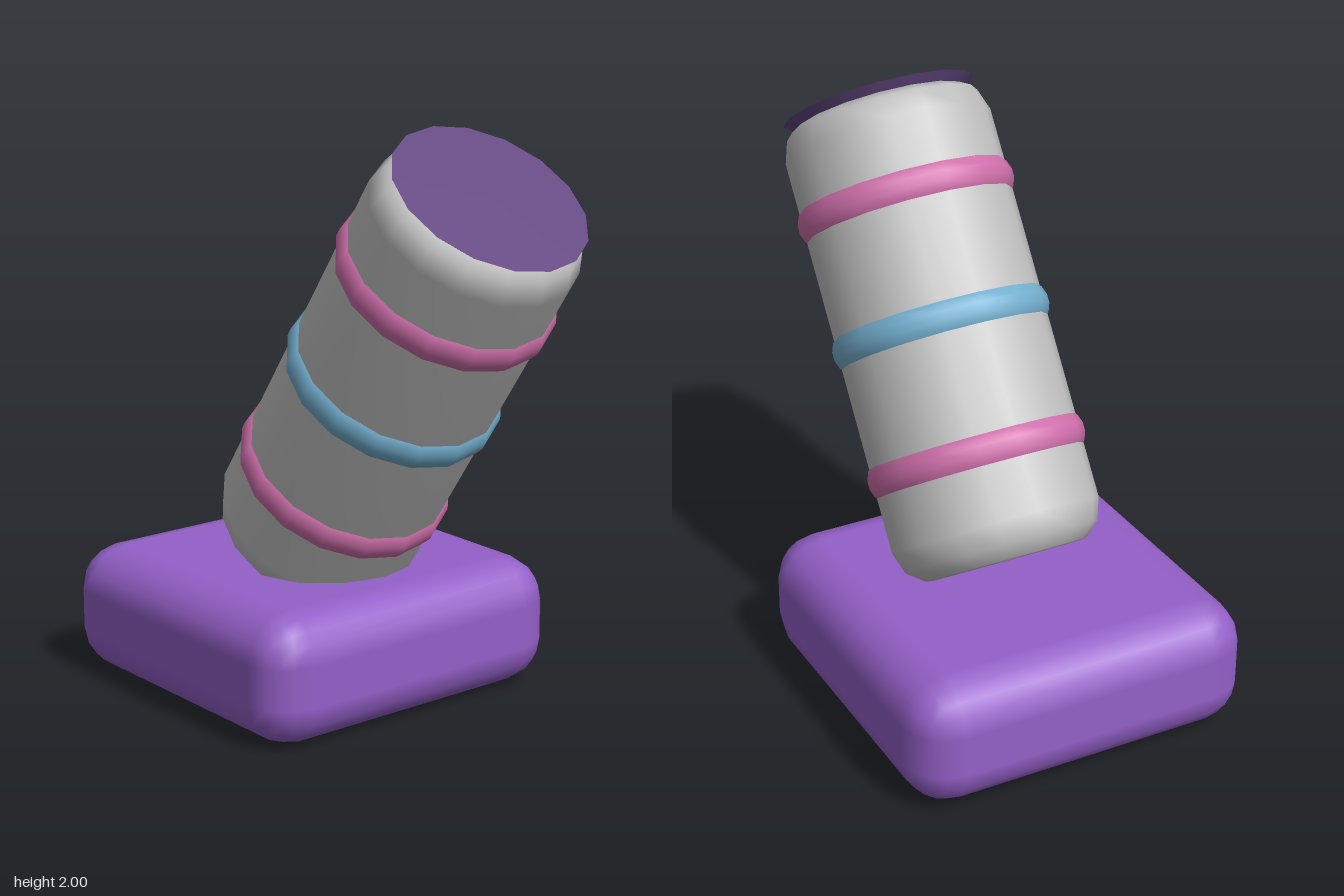
import * as THREE from 'three';
import { RoundedBoxGeometry } from 'three/addons/geometries/RoundedBoxGeometry.js';

const SIDES = 16;

function material(name, color) {
  const m = new THREE.MeshStandardMaterial({ color });
  m.name = name;
  return m;
}

// Surface of revolution from [radius, height] pairs, listed bottom to top
function lathe(name, profile, mat) {
  const points = profile.map(([r, y]) => new THREE.Vector2(r, y));
  const mesh = new THREE.Mesh(new THREE.LatheGeometry(points, SIDES), mat);
  mesh.name = name;
  return mesh;
}

export function createModel() {
  const purple = material('purple', 0x9460c8);
  const darkPurple = material('dark purple', 0x634780);
  const grey = material('light grey', 0xc0c0c0);
  const pink = material('pink', 0xd070ac);
  const blue = material('blue', 0x74b0d0);

  const model = new THREE.Group();
  model.name = 'tiltedBarrel';

  // Soft square base
  const base = new THREE.Mesh(new RoundedBoxGeometry(1.23, 0.45, 1.23, 2, 0.155), purple);
  base.name = 'base';
  base.position.set(0, 0.225, -0.285);
  model.add(base);

  // Barrel leans forward; its origin is the centre of the muzzle
  const barrel = new THREE.Group();
  barrel.name = 'barrel';
  barrel.position.set(0, 1.81, 0.63);
  barrel.rotation.x = THREE.MathUtils.degToRad(35);
  model.add(barrel);

  // Tube with rounded rims
  barrel.add(lathe('tube', [
    [0, -1.615], [0.26, -1.615], [0.285, -1.61], [0.335, -1.565], [0.36, -1.49],
    [0.36, -0.125], [0.335, -0.05], [0.285, -0.02], [0, -0.02],
  ], grey));

  // Bulging bands
  [[-0.355, pink, 'upperBand'], [-0.8, blue, 'middleBand'], [-1.25, pink, 'lowerBand']]
    .forEach(([y, mat, name]) => {
      const band = lathe(name, [
        [0.345, -0.065], [0.365, -0.045], [0.376, -0.015],
        [0.376, 0.015], [0.365, 0.045], [0.345, 0.065],
      ], mat);
      band.position.y = y;
      barrel.add(band);
    });

  // Dark muzzle disc, tapering underneath
  const muzzle = new THREE.Mesh(new THREE.CylinderGeometry(0.333, 0.29, 0.03, SIDES), darkPurple);
  muzzle.name = 'muzzle';
  muzzle.position.y = -0.015;
  barrel.add(muzzle);

  return model;
}
